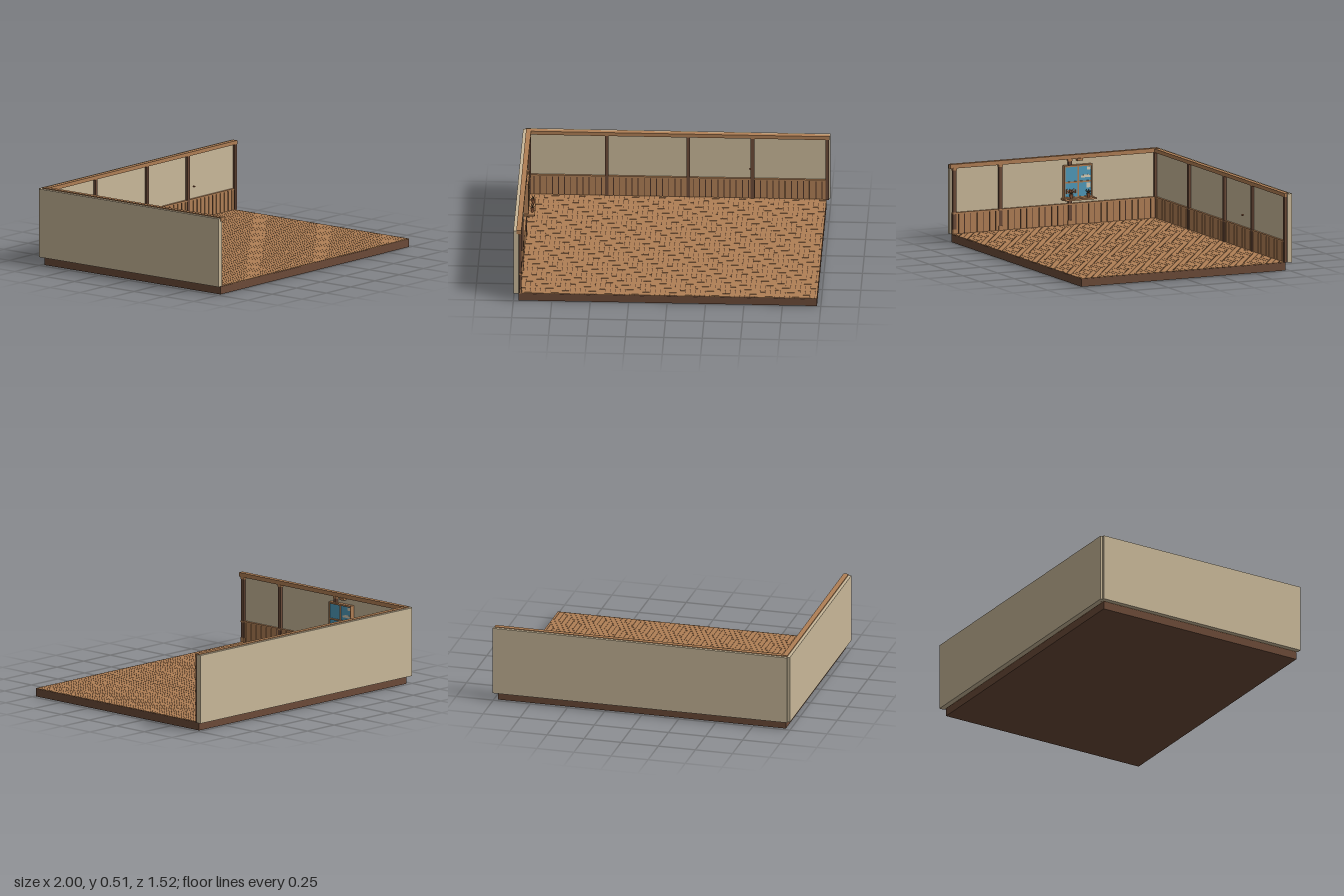
import * as THREE from 'three';
import { mergeGeometries } from 'three/addons/utils/BufferGeometryUtils.js';

const material = (name, color, extra = {}) =>
  Object.assign(new THREE.MeshStandardMaterial({ color, ...extra }), { name });

// Box between two extents on each axis
function span(x0, x1, y0, y1, z0, z1) {
  return new THREE.BoxGeometry(x1 - x0, y1 - y0, z1 - z0)
    .translate((x0 + x1) / 2, (y0 + y1) / 2, (z0 + z1) / 2);
}

// Wall coordinates: u runs along the wall, d is depth from its outer face
const onBack = (u0, u1, y0, y1, d0, d1) => span(u0, u1, y0, y1, d0 - 0.765, d1 - 0.765);
const onLeft = (u0, u1, y0, y1, d0, d1) => span(d0 - 1, d1 - 1, y0, y1, u0, u1);

export function createModel() {
  const root = new THREE.Group();
  root.name = 'timberRoom';
  const wood = material('warmWood', 0xb07f55);
  const dark = material('darkWood', 0x6b4a38);
  const seam = material('seam', 0x4a3226);
  const plaster = material('creamPlaster', 0xc9b899);
  const blue = material('windowBlue', 0x4f9aba);
  const cloud = material('cloudCream', 0xd8cfb8);
  const rust = material('rust', 0x9a6140);
  const leaf = material('leaf', 0x5a4630, { side: THREE.DoubleSide });

  function add(parent, name, mat, geometries) {
    const list = [].concat(geometries);
    const mesh = new THREE.Mesh(list.length > 1 ? mergeGeometries(list) : list[0], mat);
    mesh.name = name;
    parent.add(mesh);
    return mesh;
  }

  // Foundation
  add(root, 'foundation', dark, span(-0.967, 0.975, 0, 0.05, -0.73, 0.743));
  add(root, 'floorSeams', seam, span(-0.966, 0.974, 0.05, 0.0525, -0.729, 0.742));

  // Herringbone floor, clipped to the room
  const w = 0.0325, L = 4 * w, gap = 0.001;
  const planks = [];
  function plank(x, z, sx, sz) {
    const x0 = Math.max(x + gap, -0.966), x1 = Math.min(x + sx - gap, 0.975);
    const z0 = Math.max(z + gap, -0.73), z1 = Math.min(z + sz - gap, 0.743);
    if (x1 - x0 > 0.001 && z1 - z0 > 0.001) planks.push(span(x0, x1, 0.0515, 0.055, z0, z1));
  }
  for (let k = -42; k <= 18; k++) {
    for (let m = -8; m <= 14; m++) {
      const x = -0.8275 + k * w + m * 2 * L, z = 0.375 + k * w;
      plank(x, z, L, w);
      plank(x + L, z + w - L, w, L);
    }
  }
  add(root, 'floorPlanks', wood, planks);

  // A wall with panelling, posts and a top beam
  function buildWall(name, at, o) {
    const wall = new THREE.Group();
    wall.name = name;
    root.add(wall);
    add(wall, 'plasterWall', plaster, at(o.wall[0], o.wall[1], 0.055, 0.508, 0, 0.035));
    const [a, b] = o.inner;
    add(wall, 'panelBacking', seam, at(a, b, 0.055, 0.187, 0.03, 0.042));
    const boards = [];
    const n = Math.round((b - a) / o.pitch), p = (b - a) / n;
    for (let i = 0; i < n; i++) {
      boards.push(at(a + i * p + 0.003, a + (i + 1) * p - 0.003, 0.055, 0.186, 0.035, 0.046));
    }
    add(wall, 'panelBoards', wood, boards);
    add(wall, 'panelRail', wood, at(a, b, 0.186, 0.196, 0.03, 0.05));
    add(wall, 'topBeam', wood, at(o.beam[0], o.beam[1], 0.487, o.top, 0.02, 0.053));
    add(wall, 'posts', dark, o.posts.map(u => at(u - 0.012, u + 0.012, 0.055, 0.488, 0.02, 0.052)));
    if (o.blocks) {
      // Pale blocks at the head, rail and foot of the posts
      add(wall, 'postBlocks', wood, o.posts.slice(0, 3).flatMap(u => [
        at(u - 0.015, u + 0.015, 0.055, 0.085, 0.025, 0.054),
        at(u - 0.015, u + 0.015, 0.186, 0.197, 0.025, 0.054),
        at(u - 0.015, u + 0.015, 0.474, 0.49, 0.025, 0.0545),
      ]));
    }
    return wall;
  }
  buildWall('backWall', onBack, {
    wall: [-0.985, 1], inner: [-0.968, 0.985], beam: [-0.979, 0.993], top: 0.512,
    pitch: 0.04, posts: [-0.96, -0.455, 0.075, 0.493, 0.98],
  });
  const left = buildWall('rightSideWall', onLeft, {
    wall: [-0.75, 0.755], inner: [-0.73, 0.745], beam: [-0.744, 0.76], top: 0.515,
    pitch: 0.045, posts: [0.73, 0.397, -0.103, -0.725], blocks: true,
  });

  // Window
  const win = new THREE.Group();
  win.name = 'window';
  left.add(win);
  add(win, 'glass', blue, onLeft(-0.252, -0.062, 0.235, 0.445, 0.05, 0.056));
  add(win, 'frame', wood, [
    onLeft(-0.258, -0.057, 0.437, 0.448, 0.03, 0.064),
    onLeft(-0.258, -0.057, 0.23, 0.24, 0.03, 0.064),
    onLeft(-0.258, -0.25, 0.24, 0.437, 0.03, 0.064),
    onLeft(-0.065, -0.057, 0.24, 0.437, 0.03, 0.064),
    onLeft(-0.25, -0.065, 0.331, 0.341, 0.05, 0.063),
    onLeft(-0.161, -0.153, 0.24, 0.437, 0.05, 0.062),
  ]);
  add(win, 'sill', wood, onLeft(-0.27, -0.045, 0.221, 0.232, 0.03, 0.105));
  add(win, 'headBlock', wood, onLeft(-0.19, -0.153, 0.474, 0.49, 0.03, 0.062));
  // Painted clouds and low hedge outside the glass
  add(win, 'clouds', cloud, [
    onLeft(-0.248, -0.222, 0.412, 0.432, 0.055, 0.058),
    onLeft(-0.248, -0.18, 0.362, 0.374, 0.055, 0.058),
    onLeft(-0.236, -0.195, 0.374, 0.38, 0.055, 0.058),
    onLeft(-0.248, -0.218, 0.294, 0.325, 0.055, 0.058),
  ]);
  add(win, 'hedge', rust, [0, 1, 2, 3, 4, 5].map(i =>
    onLeft(-0.146 + i * 0.013, -0.137 + i * 0.013, 0.262, 0.286 + 0.006 * (i % 2), 0.055, 0.058)));

  // Potted plants on the sill
  for (const z of [-0.093, -0.218]) {
    const plant = new THREE.Group();
    plant.name = 'pottedPlant';
    plant.position.set(-0.912, 0.232, z);
    win.add(plant);
    add(plant, 'pot', rust, [
      new THREE.CylinderGeometry(0.012, 0.008, 0.024, 10).translate(0, 0.012, 0),
      new THREE.CylinderGeometry(0.014, 0.014, 0.006, 10).translate(0, 0.026, 0),
    ]);
    const leaves = [];
    for (let i = 0; i < 9; i++) {
      const tilt = i % 3 === 0 ? 0.45 : 0.95;
      leaves.push(new THREE.ConeGeometry(0.0045, 0.034, 4).scale(1, 1, 0.5).translate(0, 0.017, 0)
        .rotateX(tilt).rotateY(i * Math.PI * 2 / 9).translate(0, 0.03, 0));
    }
    add(plant, 'leaves', leaf, leaves);
  }

  // Small oval knob
  const knob = add(root, 'knob', rust, new THREE.SphereGeometry(0.011, 12, 8).scale(0.5, 0.5, 1));
  knob.position.set(0.48, 0.296, -0.658);
  return root;
}
